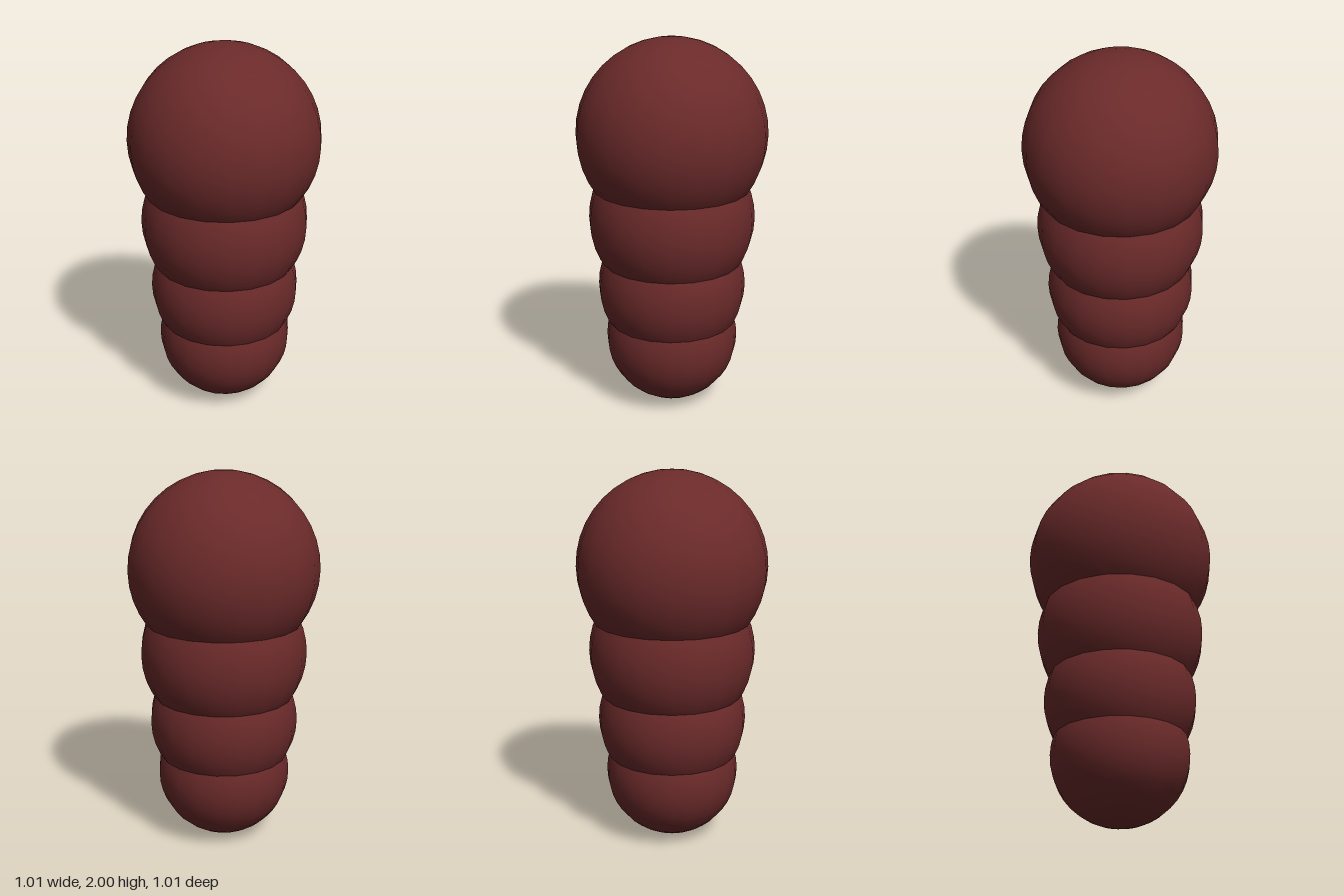
import * as THREE from 'three';

export function createModel() {
  const group = new THREE.Group();
  group.name = 'segmentedBody';
  const material = new THREE.MeshStandardMaterial({ color: 0x6b2a2a });

  // Overlapping balls that shrink toward the base: name, radius, centre height
  const balls = [
    ['headBall', 0.505, 1.495],
    ['upperSegment', 0.445, 1.04],
    ['lowerSegment', 0.4, 0.66],
    ['tailBall', 0.36, 0.36],
  ];
  for (const [name, radius, y] of balls) {
    const ball = new THREE.Mesh(new THREE.SphereGeometry(radius, 20, 20), material);
    ball.name = name;
    ball.position.y = y;
    group.add(ball);
  }
  return group;
}
